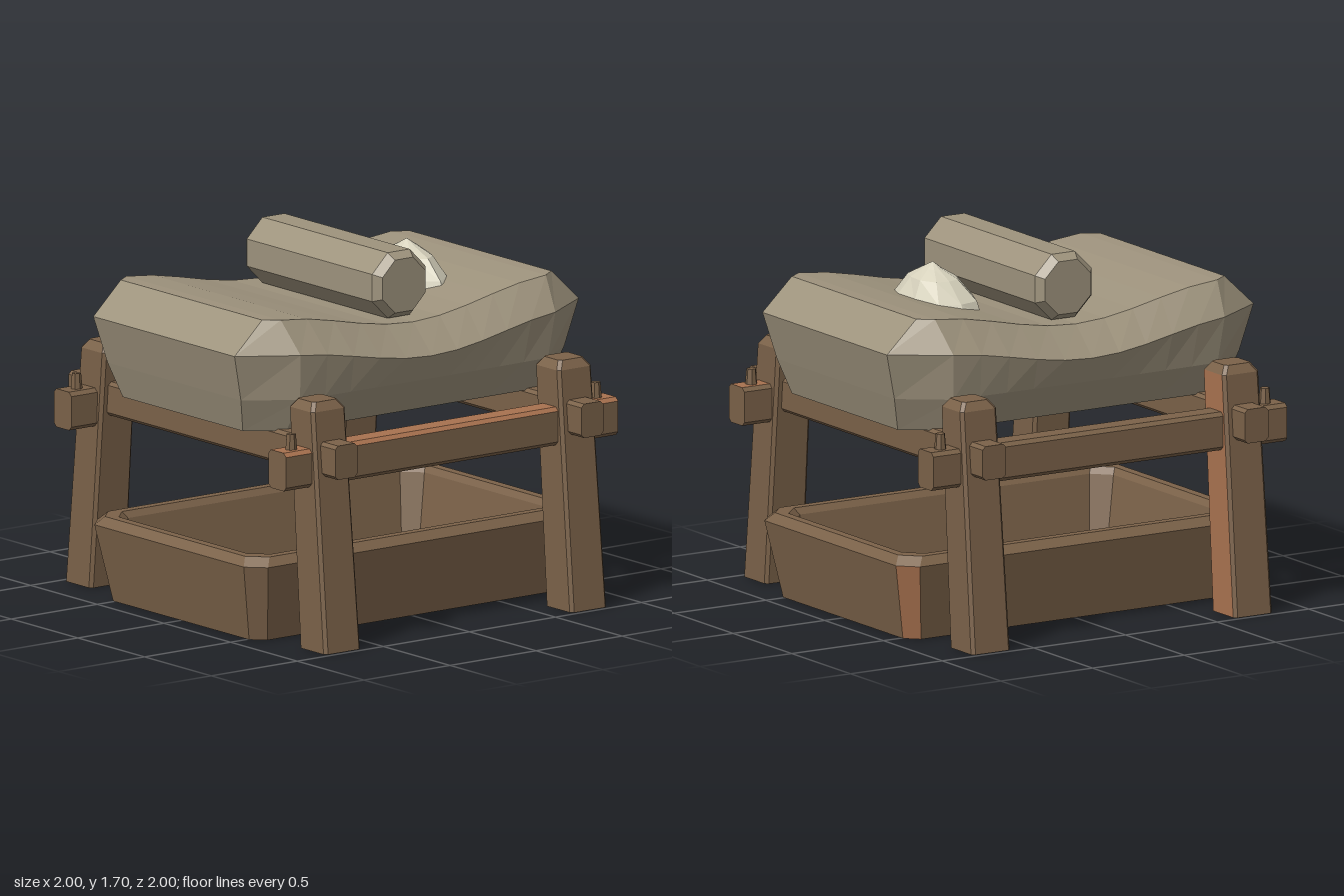
import * as THREE from 'three';

const mat = (name, color) => {
  const m = new THREE.MeshStandardMaterial({ color, flatShading: true });
  m.name = name;
  return m;
};

// Rectangular ring with cut corners; extra columns of points may run along x.
function ring(y, hx, hz, cx, cz = cx, { dx = 0, dz = 0, cols = 2, bulge = 0 } = {}) {
  const front = [[-hx, hz - cz]];
  for (let i = 0; i < cols; i++) {
    const t = (i / (cols - 1)) * 2 - 1;
    front.push([t * (hx - cx), hz + bulge * (1 - t * t)]);
  }
  front.push([hx, hz - cz]);
  const back = front.map(([x, z]) => [x, -z]).reverse();
  return [...front, ...back].map(([x, z]) =>
    new THREE.Vector3(x + dx, typeof y === 'function' ? y(x) : y, z + dz));
}

// Skin stacked rings and close both ends with strips; isWarm picks sides for the second material.
function loft(rings, isWarm = () => false) {
  const plain = [], warm = [];
  const quad = (list, a, b, c, d) =>
    [a, b, c, a, c, d].forEach(p => list.push(p.x, p.y, p.z));
  const n = rings[0].length;
  for (let k = 0; k < rings.length - 1; k++) {
    for (let i = 0; i < n; i++) {
      const j = (i + 1) % n;
      quad(isWarm(k, i) ? warm : plain, rings[k][i], rings[k][j], rings[k + 1][j], rings[k + 1][i]);
    }
  }
  const lo = rings[0], hi = rings[rings.length - 1];
  for (let i = 0; i < n / 2 - 1; i++) {
    quad(plain, hi[i], hi[i + 1], hi[n - 2 - i], hi[n - 1 - i]);
    quad(plain, lo[n - 1 - i], lo[n - 2 - i], lo[i + 1], lo[i]);
  }
  const g = new THREE.BufferGeometry();
  g.setAttribute('position', new THREE.Float32BufferAttribute([...plain, ...warm], 3));
  g.addGroup(0, plain.length / 3, 0);
  if (warm.length) g.addGroup(plain.length / 3, warm.length / 3, 1);
  g.computeVertexNormals();
  return g;
}

export function createModel() {
  const model = new THREE.Group();
  const stone = mat('stone', 0x9e937d);
  const wood = mat('wood', 0x7b6249);
  const warmWood = mat('warm wood', 0xa8724f);
  const powder = mat('powder', 0xd6d1bc);
  const woods = [wood, warmWood];
  const add = (name, geometry, material, x = 0, y = 0, z = 0) => {
    const m = new THREE.Mesh(geometry, material);
    m.name = name;
    m.position.set(x, y, z);
    model.add(m);
    return m;
  };

  // Saddle-shaped grinding slab
  const rise = x => (1 - Math.cos(Math.PI * Math.min(1, Math.abs(x) / 0.82))) / 2;
  const opt = { cols: 11 };
  const slab = loft([
    ring(0.97, 0.89, 0.57, 0.16, 0.12, opt),
    ring(1.13, 0.94, 0.66, 0.22, 0.16, { cols: 11, bulge: 0.01 }),
    ring(x => 1.25 + 0.1 * rise(x), 1, 0.69, 0.26, 0.16, { cols: 11, bulge: 0.03 }),
    ring(x => 1.385 + 0.115 * rise(x), 0.84, 0.58, 0.07, 0.05, opt),
  ]);
  add('grindingSlab', slab, stone);

  // Eight-sided hand roller
  const rollerProfile = [[0, -0.51], [0.135, -0.51], [0.167, -0.47], [0.167, 0.47], [0.135, 0.51], [0, 0.51]]
    .map(p => new THREE.Vector2(...p));
  const roller = new THREE.LatheGeometry(rollerProfile, 8);
  roller.rotateY(Math.PI / 8).rotateX(Math.PI / 2);
  add('roller', roller, stone, 0, 1.545, 0);

  // Uneven heap of meal
  const heapProfile = [[0.19, 0], [0.165, 0.06], [0.1, 0.15], [0.04, 0.19], [0, 0.22]]
    .map(p => new THREE.Vector2(...p));
  const heap = new THREE.LatheGeometry(heapProfile, 10);
  const hp = heap.attributes.position;
  for (let i = 0; i < hp.count; i++) {
    const x = hp.getX(i), z = hp.getZ(i);
    const s = 1 + 0.08 * Math.sin(x * 31 + z * 17);
    hp.setXYZ(i, x * s, hp.getY(i), z * s * 1.5);
  }
  heap.computeVertexNormals();
  add('mealHeap', heap, powder, 0.41, 1.4, 0);

  // Open catch tray with sloping walls
  const tray = loft([
    ring(0, 0.9, 0.57, 0.06),
    ring(0.36, 0.97, 0.64, 0.08),
    ring(0.4, 0.935, 0.605, 0.08),
    ring(0.4, 0.89, 0.56, 0.08),
    ring(0.37, 0.87, 0.54, 0.08),
    ring(0.08, 0.82, 0.49, 0.06),
  ], (k, i) => k === 0 && (i === 4 || i === 6));
  add('catchTray', tray, woods);

  for (const sx of [-1, 1]) {
    // Leaning legs and the pegs beside them
    for (const sz of [-1, 1]) {
      const at = z => ({ dx: sx * 0.715, dz: sz * z });
      const leg = loft([
        ring(0, 0.105, 0.1, 0.015, 0.015, at(0.88)),
        ring(1.12, 0.098, 0.092, 0.015, 0.015, at(0.782)),
        ring(1.16, 0.07, 0.065, 0.015, 0.015, at(0.782)),
      ], (k, i) => sx < 0 && sz < 0 && k === 0 && i === 3);
      add('leg', leg, woods);
      add('peg', new THREE.CylinderGeometry(0.022, 0.034, 0.14, 7), wood, sx * 0.885, 0.95, sz * 0.805);
    }
    // Bearers running front to back under the slab
    const bearer = loft([-1, 1].map(y => ring(y, 0.064, 0.08, 0.016)));
    bearer.rotateX(Math.PI / 2);
    add('bearer', bearer, woods, sx * 0.715, 0.9, 0);
  }

  // Long rails across the front and back
  for (const sz of [-1, 1]) {
    const rail = loft([-0.965, 0.965].map(y => ring(y, 0.09, 0.066, 0.018)),
      (k, i) => sz > 0 && (i === 7 || i === 0));
    rail.rotateZ(-Math.PI / 2);
    add('rail', rail, woods, 0, 0.858, sz * 0.805);
  }
  return model;
}
